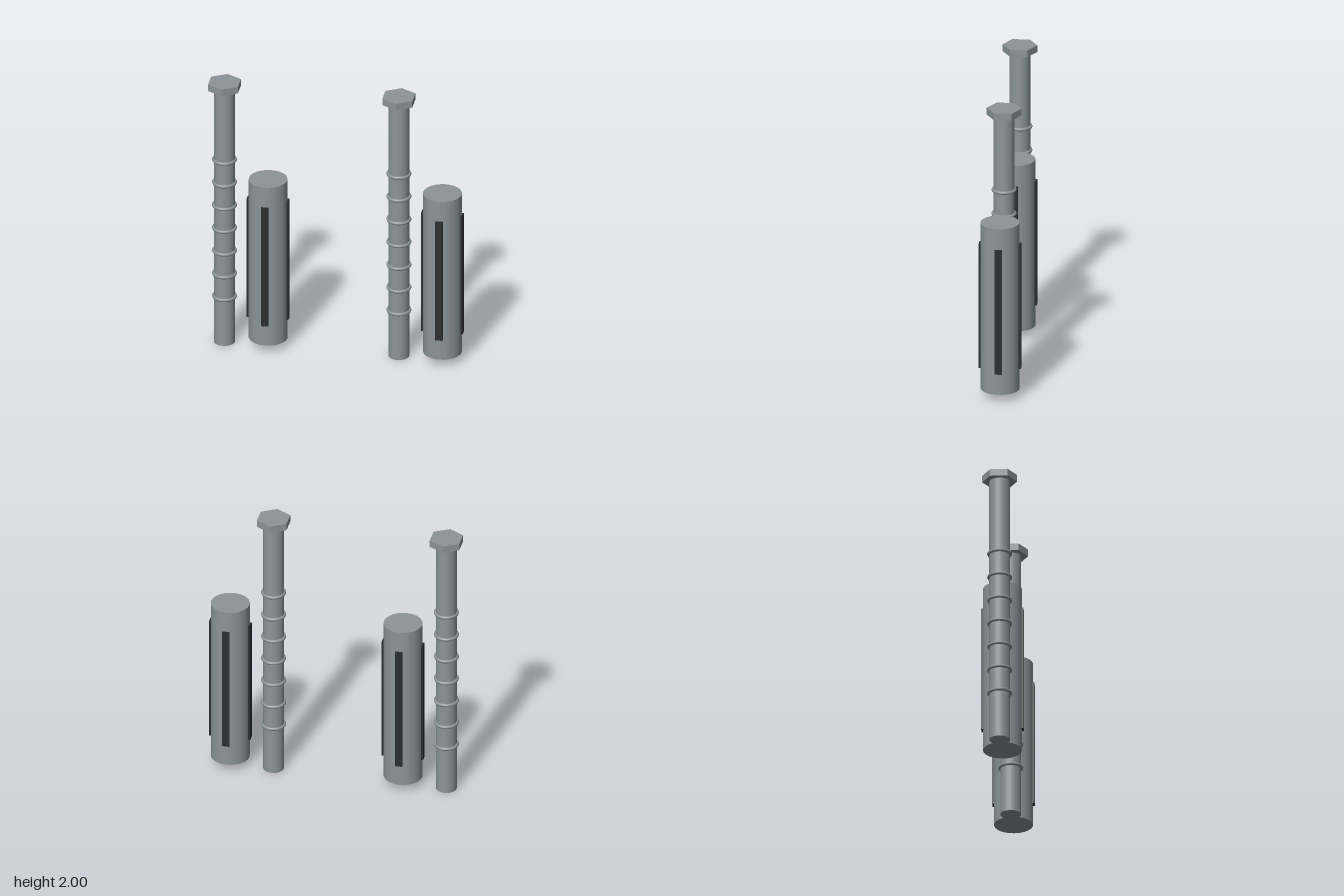
import * as THREE from 'three';

const steel = new THREE.MeshStandardMaterial({ color: 0x8c959a });
const dark = new THREE.MeshStandardMaterial({ color: 0x2b2e31 });
const steelFlat = new THREE.MeshStandardMaterial({ color: 0x8c959a, flatShading: true });

function add(parent, name, geometry, material, x = 0, y = 0, z = 0) {
  const mesh = new THREE.Mesh(geometry, material);
  mesh.name = name;
  mesh.position.set(x, y, z);
  parent.add(mesh);
  return mesh;
}

// Hex-headed bolt with evenly spaced rings along the shaft
function createBolt() {
  const bolt = new THREE.Group();
  bolt.name = 'bolt';
  add(bolt, 'shaft', new THREE.CylinderGeometry(0.072, 0.072, 1.95, 24), steel, 0, 0.975);
  add(bolt, 'hexHead', new THREE.CylinderGeometry(0.12, 0.12, 0.05, 6), steelFlat, 0, 1.975);
  const ring = new THREE.TorusGeometry(0.0745, 0.012, 8, 24);
  ring.rotateX(Math.PI / 2);
  for (let i = 0; i < 7; i++) add(bolt, 'threadRing', ring, steel, 0, 0.352 + i * 0.1753);
  return bolt;
}

// Solid sleeve with four dark strips around its side
function createSleeve() {
  const sleeve = new THREE.Group();
  sleeve.name = 'sleeve';
  add(sleeve, 'sleeveBody', new THREE.CylinderGeometry(0.134, 0.134, 1.217, 24), steel, 0, 0.67);
  const strip = new THREE.BoxGeometry(0.05, 0.912, 0.03);
  for (let i = 0; i < 4; i++) {
    const a = (i * Math.PI) / 2;
    const mesh = add(sleeve, 'sleeveStrip', strip, dark, Math.sin(a) * 0.13, 0.67, Math.cos(a) * 0.13);
    mesh.rotation.y = a;
  }
  return sleeve;
}

export function createModel() {
  const model = new THREE.Group();
  model.name = 'anchorBolts';
  // Two identical bolt and sleeve pairs
  for (const x of [-0.782, 0.432]) {
    const pair = new THREE.Group();
    pair.name = 'boltAndSleeve';
    pair.position.x = x;
    const sleeve = createSleeve();
    sleeve.position.x = 0.304;
    pair.add(createBolt(), sleeve);
    model.add(pair);
  }
  return model;
}
